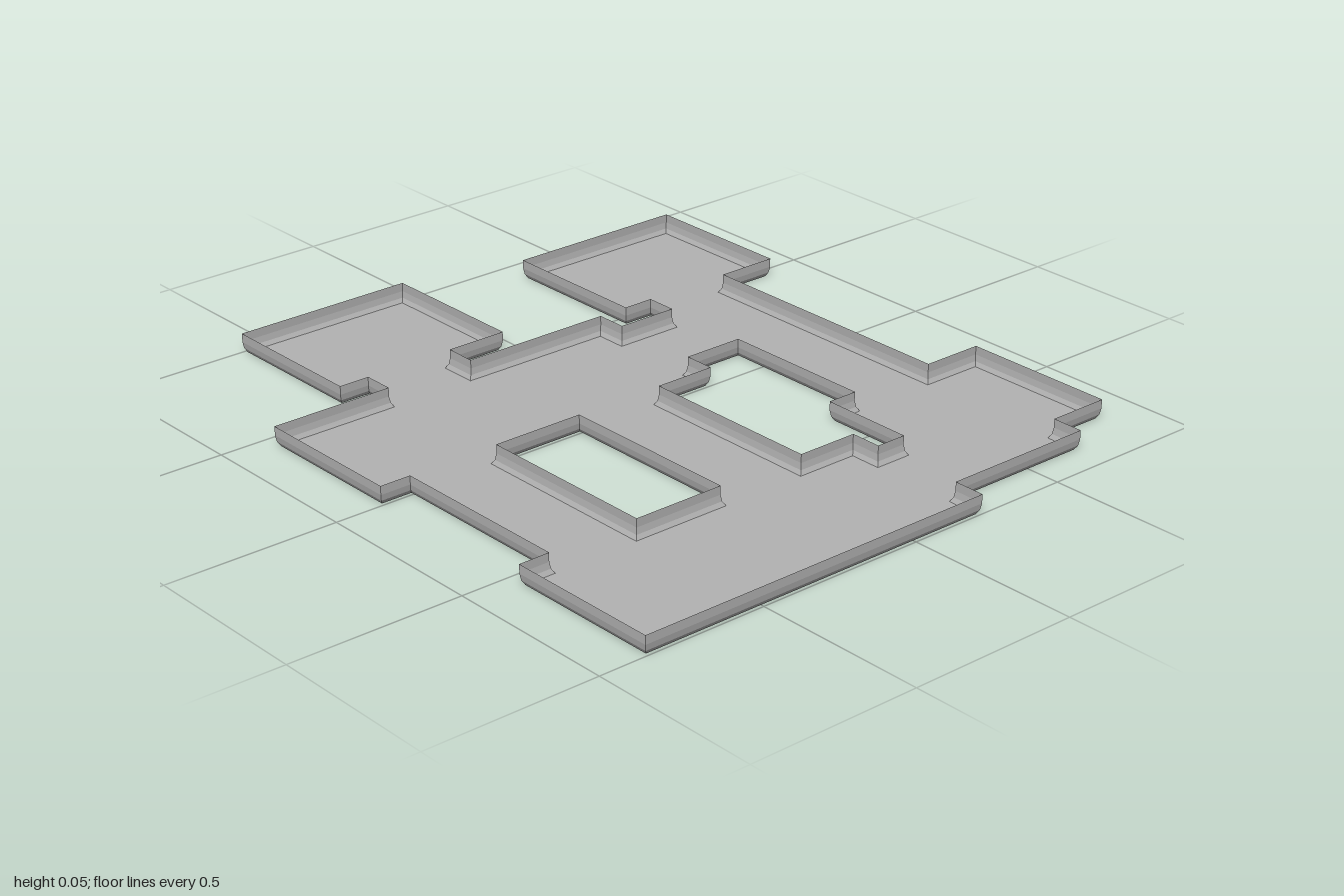
import * as THREE from 'three';

const CELL = 2 / 22;
// Wall cross-section from rim to floor: [inset, height]
const PROFILE = [[0, 0.055], [0, 0.03], [0.003, 0.012], [0.01, 0]];

// Outlines in grid cells (column, row); the floor lies to the right of travel
const OUTLINE = [
  [3, 0], [9, 0], [9, 5], [7, 5], [7, 6], [12, 6], [12, 7], [14, 7], [14, 6], [13, 6],
  [13, 1], [19, 1], [19, 6], [17, 6], [17, 15], [19, 15], [19, 20], [17, 20], [17, 21],
  [12, 21], [12, 22], [0, 22], [0, 17], [1, 17], [1, 11], [0, 11], [0, 6], [4, 6], [4, 5], [3, 5],
];
const SQUARE_HOLE = [[4, 11], [4, 17], [7, 17], [7, 11]];
const STEPPED_HOLE = [
  [10, 11], [10, 17], [12, 17], [12, 18], [13, 18], [13, 15], [14, 15], [14, 10], [12, 10], [12, 11],
];

// Outline in model units, moved towards the floor by the inset
function ring(cells, inset) {
  const n = cells.length;
  return cells.map(([c, r], i) => {
    const [pc, pr] = cells[(i + n - 1) % n];
    const [nc, nr] = cells[(i + 1) % n];
    const dx = -Math.sign(r - pr) - Math.sign(nr - r);
    const dz = Math.sign(c - pc) + Math.sign(nc - c);
    return [(c - 9.5) * CELL + dx * inset, (r - 11) * CELL + dz * inset];
  });
}

// Upright wall with a rounded foot, following an outline
function wallGeometry(cells) {
  const pos = [];
  for (let k = 0; k < PROFILE.length - 1; k++) {
    const [hiInset, hi] = PROFILE[k];
    const [loInset, lo] = PROFILE[k + 1];
    const top = ring(cells, hiInset);
    const low = ring(cells, loInset);
    for (let i = 0; i < cells.length; i++) {
      const j = (i + 1) % cells.length;
      const a = [top[i][0], hi, top[i][1]];
      const b = [top[j][0], hi, top[j][1]];
      const c = [low[j][0], lo, low[j][1]];
      const d = [low[i][0], lo, low[i][1]];
      pos.push(...a, ...b, ...c, ...a, ...c, ...d);
    }
  }
  const geo = new THREE.BufferGeometry();
  geo.setAttribute('position', new THREE.Float32BufferAttribute(pos, 3));
  geo.computeVertexNormals();
  return geo;
}

export function createModel() {
  const model = new THREE.Group();
  model.name = 'floorPlanTray';
  const grey = new THREE.MeshStandardMaterial({ color: 0xb2b2b2, side: THREE.DoubleSide });
  grey.name = 'grey';

  const add = (name, geo) => {
    const mesh = new THREE.Mesh(geo, grey);
    mesh.name = name;
    model.add(mesh);
  };

  // Floor sheet with its two openings
  const inset = PROFILE[PROFILE.length - 1][0];
  const flat = (cells) => ring(cells, inset).map(([x, z]) => new THREE.Vector2(x, -z));
  const shape = new THREE.Shape(flat(OUTLINE));
  for (const hole of [SQUARE_HOLE, STEPPED_HOLE]) shape.holes.push(new THREE.Path(flat(hole)));
  add('floor', new THREE.ShapeGeometry(shape).rotateX(-Math.PI / 2));

  // Walls around the outside and the openings
  add('outerWall', wallGeometry(OUTLINE));
  add('squareOpeningWall', wallGeometry(SQUARE_HOLE));
  add('steppedOpeningWall', wallGeometry(STEPPED_HOLE));
  return model;
}
